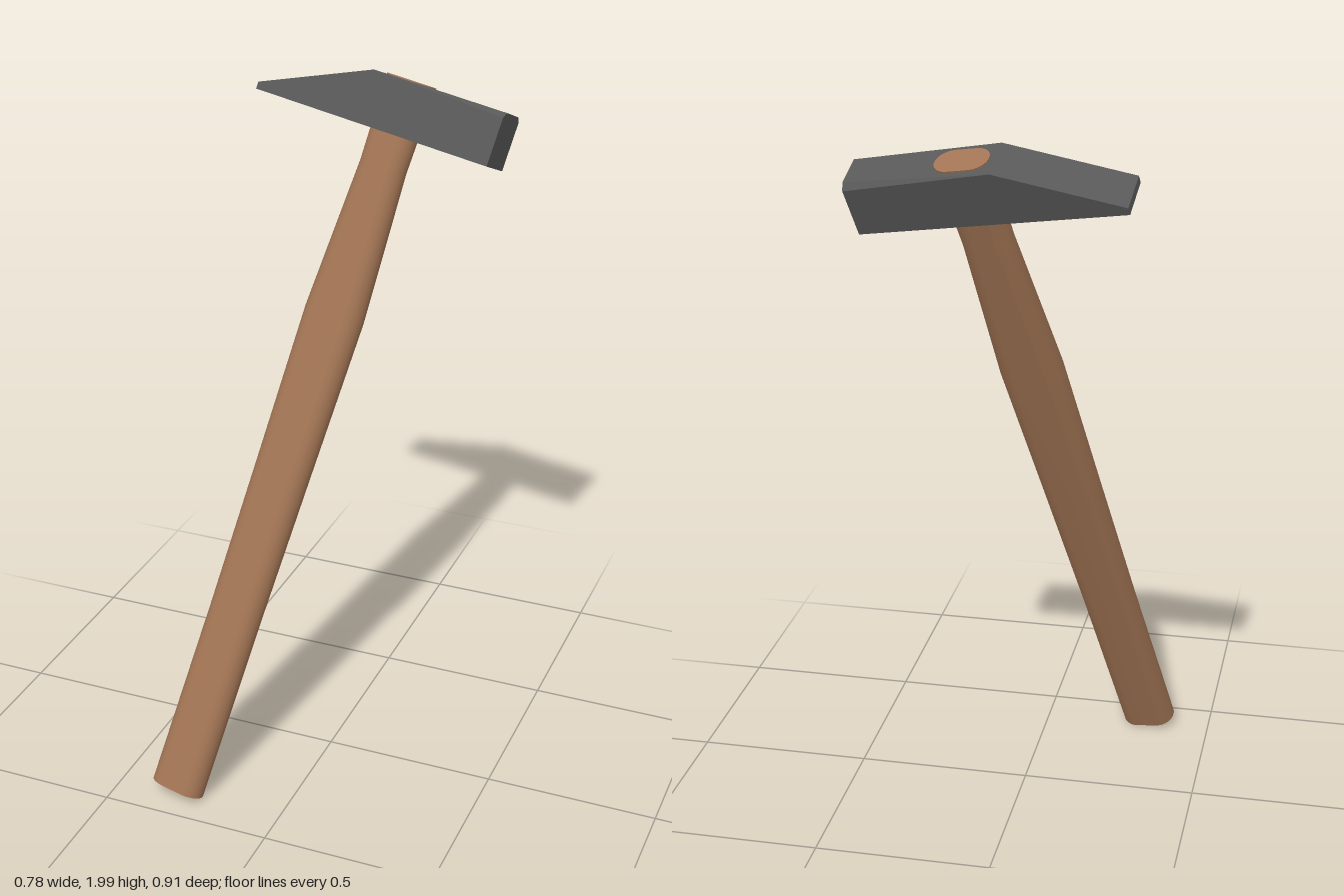
import * as THREE from 'three';
import { ConvexGeometry } from 'three/addons/geometries/ConvexGeometry.js';

const HANDLE_LENGTH = 2.124;

// Handle sections, bottom to top: [height, half width, half thickness]
const SECTIONS = [
  [0, 0.079, 0.048],
  [0.55, 0.079, 0.048],
  [1.0, 0.083, 0.049],
  [1.45, 0.088, 0.05],
  [1.88, 0.068, 0.046],
  [HANDLE_LENGTH, 0.073, 0.046],
];

// Stadium-shaped loft: a unit cylinder whose rings are reshaped per section
function handleGeometry() {
  const geo = new THREE.CylinderGeometry(1, 1, SECTIONS.length - 1, 48, SECTIONS.length - 1);
  const pos = geo.attributes.position;
  for (let i = 0; i < pos.count; i++) {
    const row = Math.round(pos.getY(i) + (SECTIONS.length - 1) / 2);
    const [y, a, b] = SECTIONS[row];
    const x = pos.getX(i);
    const flat = Math.abs(x) < 1e-6 ? 0 : Math.sign(x) * (a - b);
    pos.setXYZ(i, x * b + flat, y, pos.getZ(i) * b);
  }
  geo.computeVertexNormals();
  return geo;
}

// Head: square face at +x, top ridge, wedge peen at -x, top edges chamfered toward the face
function headGeometry() {
  const bottom = 1.97, top = 2.12, half = 0.066;
  const points = [];
  for (const s of [-1, 1]) {
    for (const [x, y, z] of [
      [-0.41, bottom, half],
      [-0.41, bottom + 0.02, half],
      [-0.088, top, half],
      [0.308, top, half - 0.017],
      [0.308, top - 0.015, half],
      [0.308, bottom, half],
    ]) points.push(new THREE.Vector3(x, y, s * z));
  }
  return new ConvexGeometry(points);
}

export function createModel() {
  const model = new THREE.Group();
  model.name = 'hammer';

  const handle = new THREE.Mesh(
    handleGeometry(),
    new THREE.MeshStandardMaterial({ color: 0xa07353 })
  );
  handle.name = 'handle';

  const head = new THREE.Mesh(
    headGeometry(),
    new THREE.MeshStandardMaterial({ color: 0x585858, flatShading: true })
  );
  head.name = 'head';

  // The whole tool leans: head axis, handle axis and their normal
  const tool = new THREE.Group();
  tool.name = 'leaningTool';
  const along = new THREE.Vector3(0.981, -0.153, 0.118).normalize();
  const up = new THREE.Vector3(0.191, 0.909, -0.372).normalize();
  const out = new THREE.Vector3().crossVectors(along, up).normalize();
  up.crossVectors(out, along);
  tool.quaternion.setFromRotationMatrix(new THREE.Matrix4().makeBasis(along, up, out));
  tool.position.set(-0.315, 0.033, 0.405);
  tool.add(handle, head);
  model.add(tool);
  return model;
}
